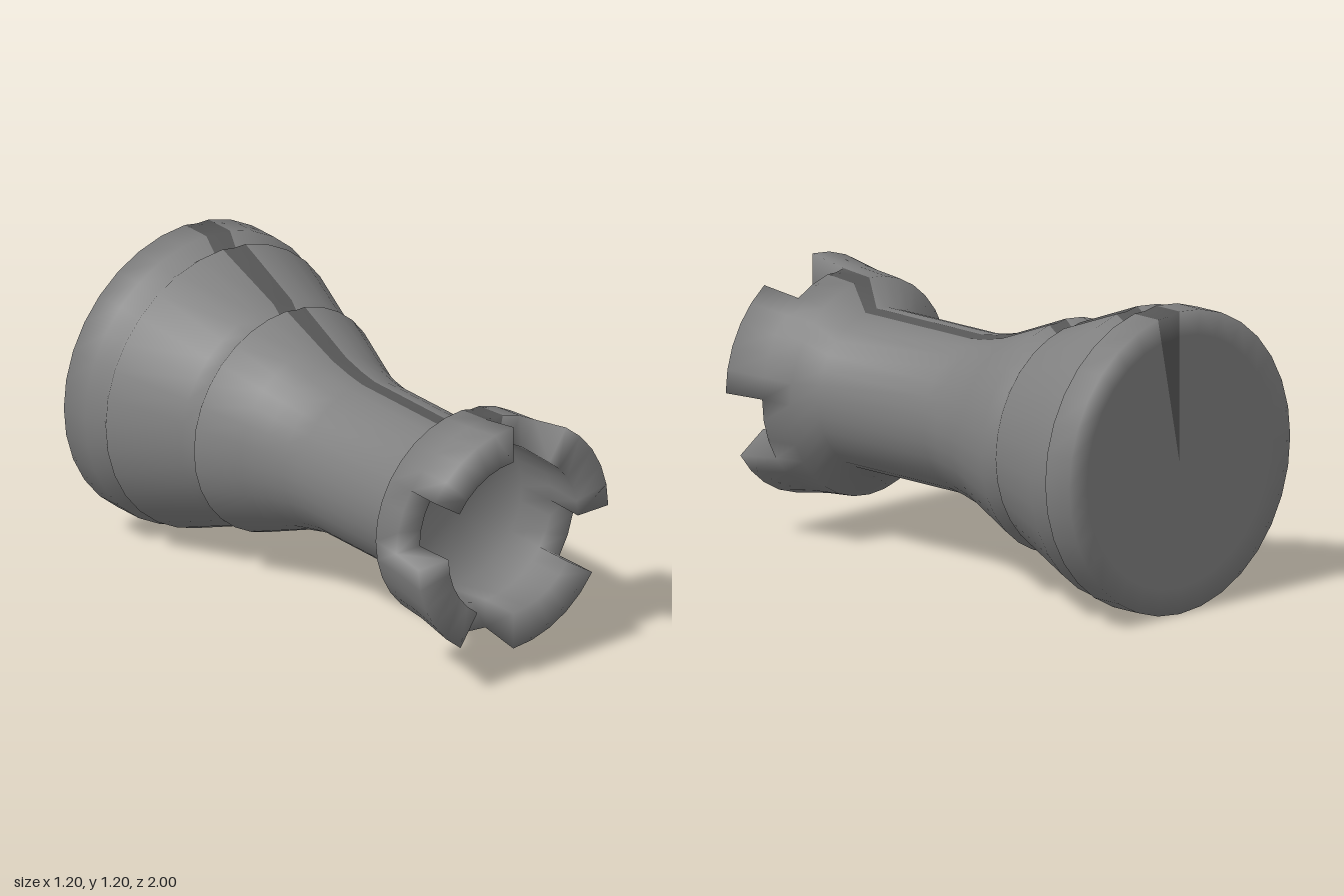
import * as THREE from 'three';
import { mergeVertices } from 'three/addons/utils/BufferGeometryUtils.js';

const SEGMENTS = 32;
const AXIS_Y = 0.6;
const GROOVE_DEPTH = 0.005;
const stone = new THREE.MeshStandardMaterial({ color: 0x808080, side: THREE.DoubleSide });
const darkStone = new THREE.MeshStandardMaterial({ color: 0x585858, side: THREE.DoubleSide });

// Point at column u (counted from the top of the circle) for a [radius, z] profile point.
function place(u, [r, z]) {
  const angle = Math.PI / 2 + (u / SEGMENTS) * Math.PI * 2;
  const radius = u === 31.5 && r > 0 ? r * 0.995 - GROOVE_DEPTH : r;
  return [Math.cos(angle) * radius, AXIS_Y + Math.sin(angle) * radius, z];
}

// Turns a profile around the long axis through the given columns; capped closes
// the two ends of a four-point profile.
function turn(profile, columns, capped = false) {
  const n = profile.length;
  const positions = columns.flatMap((u) => profile.flatMap((p) => place(u, p)));
  const index = [];
  for (let c = 0; c < columns.length - 1; c++) {
    for (let p = 0; p < n - 1; p++) {
      const a = c * n + p;
      const b = a + n;
      if (profile[p][0] > 0) index.push(a, b, a + 1);
      if (profile[p + 1][0] > 0) index.push(b, b + 1, a + 1);
    }
  }
  if (capped) {
    const e = (columns.length - 1) * n;
    index.push(0, 1, 2, 0, 2, 3, e, e + 2, e + 1, e, e + 3, e + 2);
  }
  const geometry = new THREE.BufferGeometry();
  geometry.setAttribute('position', new THREE.Float32BufferAttribute(positions, 3));
  geometry.setIndex(index);
  const merged = mergeVertices(geometry, 1e-4);
  merged.computeVertexNormals();
  return merged;
}

// Shares normals between touching parts, so the shading runs on across the joints.
function smoothTogether(group) {
  const sums = new Map();
  const visit = (action) => group.children.forEach(({ geometry }) => {
    const { position, normal } = geometry.attributes;
    for (let i = 0; i < position.count; i++) {
      const point = new THREE.Vector3().fromBufferAttribute(position, i);
      action(point.toArray().map((v) => Math.round(v * 1000)).join(), normal, i);
    }
  });
  visit((key, normal, i) => {
    if (!sums.has(key)) sums.set(key, new THREE.Vector3());
    sums.get(key).add(new THREE.Vector3().fromBufferAttribute(normal, i));
  });
  visit((key, normal, i) => {
    const { x, y, z } = sums.get(key).clone().normalize();
    normal.setXYZ(i, x, y, z);
  });
}

const range = (from, to) => Array.from({ length: to - from + 1 }, (_, i) => from + i);

export function createModel() {
  const model = new THREE.Group();
  model.name = 'chessRook';
  const add = (name, geometry, material = stone) => {
    const mesh = new THREE.Mesh(geometry, material);
    mesh.name = name;
    model.add(mesh);
  };

  // Base, flared body, shaft and collar
  const outside = [
    [0, -1], [0.5, -1], [0.6, -1], [0.6, -0.87], [0.545, -0.82], [0.58, -0.77],
    [0.46, -0.46], [0.425, -0.42], [0.46, -0.38], [0.385, -0.19],
    [0.35, -0.1], [0.327, 0], [0.315, 0.08], [0.315, 0.65], [0.43, 0.69], [0.442, 0.83],
  ];
  const hollow = [[0.325, 0.83], [0.318, 0.66], [0, 0.66]];
  add('body', turn(outside, range(0, 31)));
  add('crownHollow', turn(hollow, range(0, 31)));

  // Dark seam along the top, shallowly grooved
  add('seamGroove', turn([...outside, ...hollow], [31, 31.5, 32]), darkStone);

  // Crown: four battlements, each followed by a gap
  const tooth = [[0.442, 0.83], [0.47, 1], [0.32, 1], [0.325, 0.83]];
  for (let start = 0; start < SEGMENTS; start += 8) {
    add('battlement', turn(tooth, range(start, start + 5), true));
    // The seam fills the last column of the last gap
    const gapEnd = Math.min(start + 8, 31);
    add('crownGap', turn([tooth[0], tooth[3]], range(start + 5, gapEnd)));
  }

  smoothTogether(model);
  return model;
}
